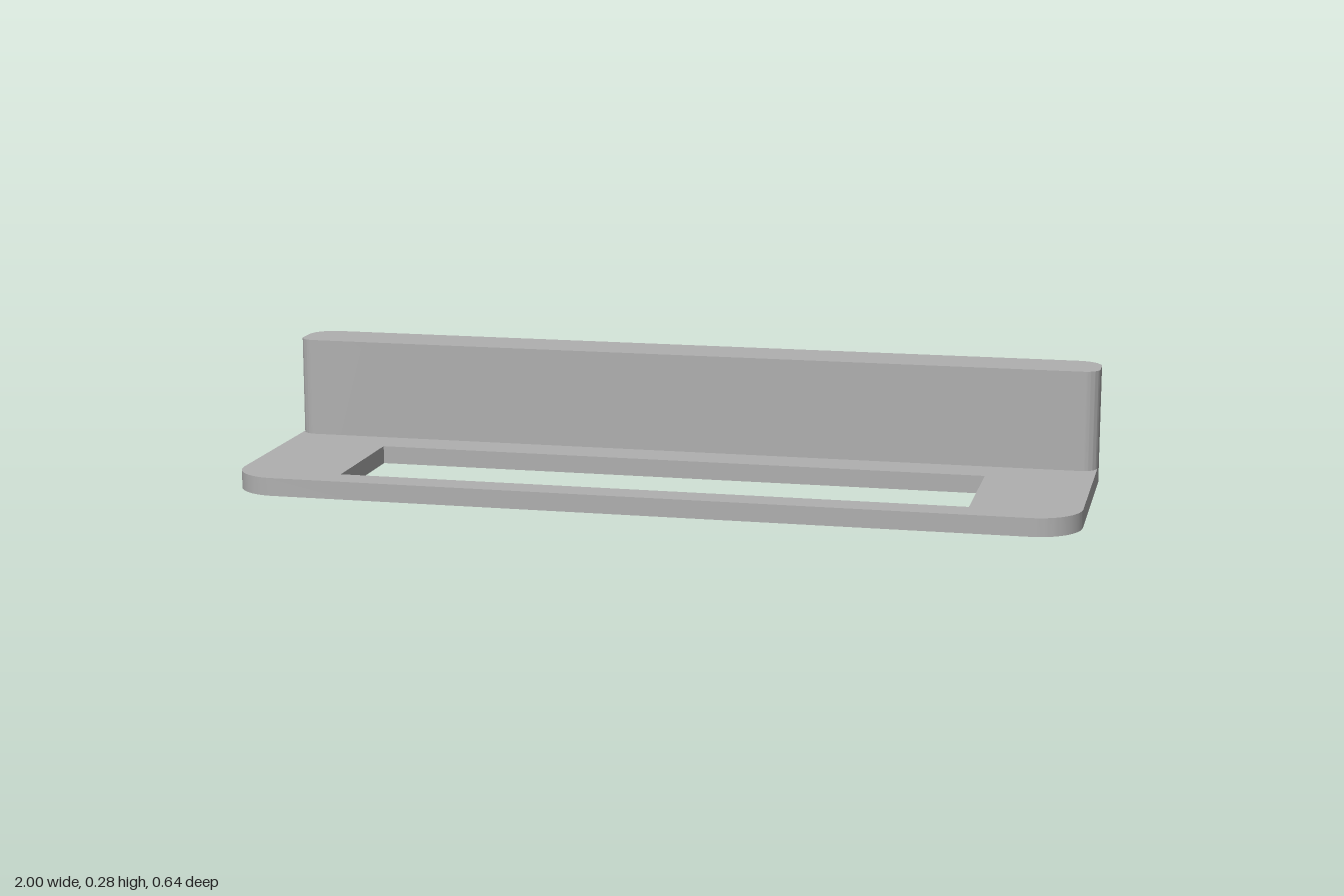
import * as THREE from 'three';
import { toCreasedNormals } from 'three/addons/utils/BufferGeometryUtils.js';

// Plan outline with separate front and back corner radii (shape y is -z).
function plan(halfX, front, back, rFront, rBack) {
  const s = new THREE.Shape();
  const f = -front, b = -back, H = Math.PI / 2;
  s.absarc(halfX - rFront, f + rFront, rFront, -H, 0);
  s.absarc(halfX - rBack, b - rBack, rBack, 0, H);
  s.absarc(-halfX + rBack, b - rBack, rBack, H, 2 * H);
  s.absarc(-halfX + rFront, f + rFront, rFront, 2 * H, 3 * H);
  s.closePath();
  return s;
}

// Raises a plan outline from y0 to y1.
function raise(name, shape, y0, y1, material) {
  const g = new THREE.ExtrudeGeometry(shape, { depth: y1 - y0, bevelEnabled: false, curveSegments: 12 });
  g.rotateX(-Math.PI / 2);
  g.translate(0, y0, 0);
  const mesh = new THREE.Mesh(toCreasedNormals(g, Math.PI / 6), material);
  mesh.name = name;
  return mesh;
}

export function createModel() {
  const grey = new THREE.MeshStandardMaterial({ color: 0xb0b0b0 });
  grey.name = 'plain grey';
  const model = new THREE.Group();
  model.name = 'slottedBracket';
  const baseTop = 0.043;

  // Flat base with a rectangular window
  const base = plan(1, 0.318, -0.318, 0.108, 0.06);
  const slot = new THREE.Path();
  slot.moveTo(-0.746, -0.243);
  slot.lineTo(-0.746, 0.076);
  slot.lineTo(0.746, 0.076);
  slot.lineTo(0.746, -0.243);
  slot.closePath();
  base.holes.push(slot);
  model.add(raise('basePlate', base, 0, baseTop, grey));

  // Upright wall along the back
  const wall = plan(1, -0.178, -0.318, 0.038, 0.06);
  model.add(raise('backWall', wall, baseTop, 0.284, grey));

  return model;
}
